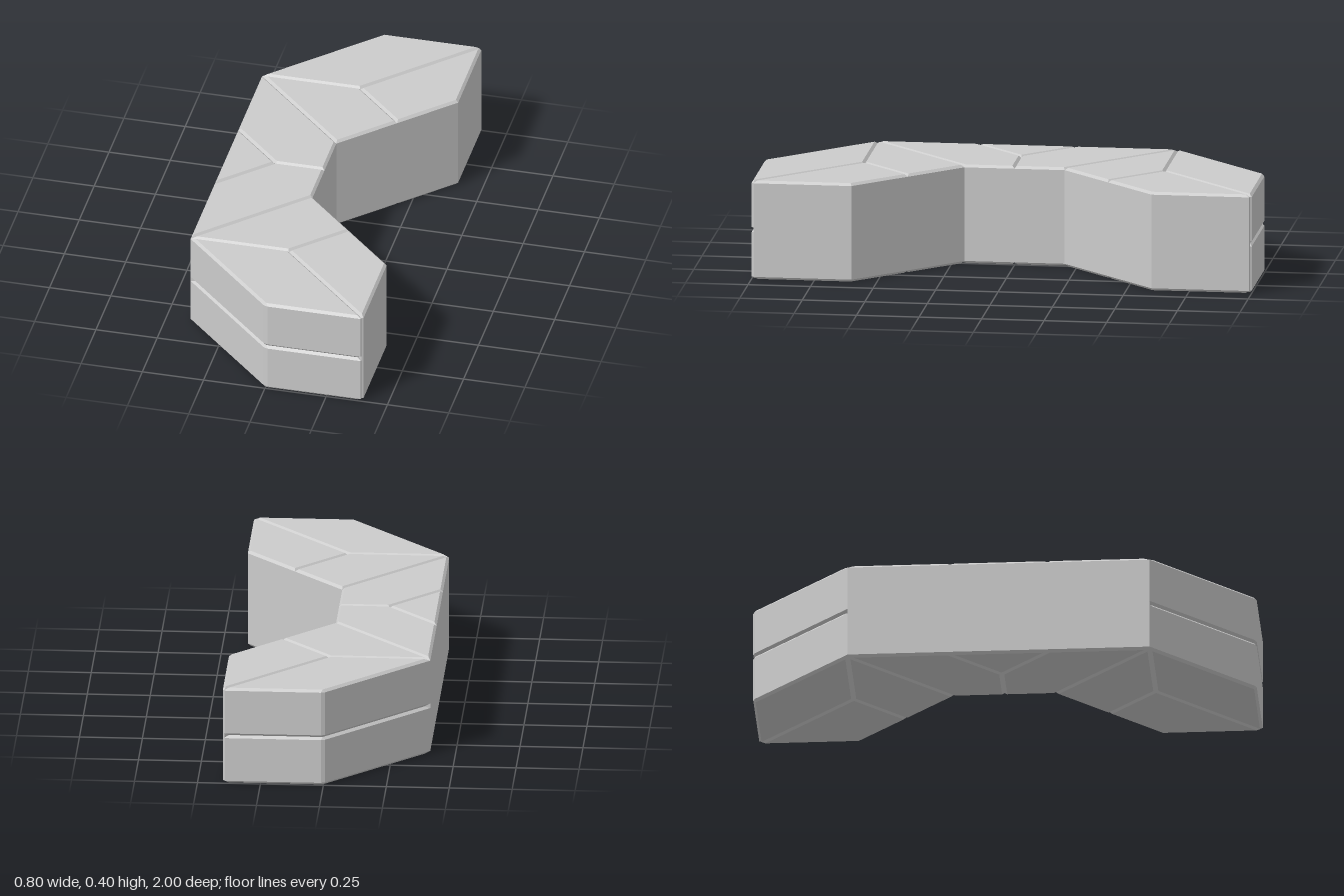
import * as THREE from 'three';
import { ConvexGeometry } from 'three/addons/geometries/ConvexGeometry.js';

const BEVEL = 0.01;
const material = new THREE.MeshStandardMaterial({ color: 0xcccccc, flatShading: true });

// Convex prism with chamfered top and bottom rims.
// outline: [x, z] corners; cuts: indices of corners whose upright edge is chamfered too.
function block(name, outline, y0, y1, side, cuts = []) {
  const points = [];
  const add = (p, y) => points.push(new THREE.Vector3(p.x, y, p.y * side));
  const corners = outline.map(([x, z]) => new THREE.Vector2(x, z));
  const n = corners.length;
  corners.forEach((corner, i) => {
    const toPrev = corners[(i + n - 1) % n].clone().sub(corner).normalize();
    const toNext = corners[(i + 1) % n].clone().sub(corner).normalize();
    const sine = Math.abs(toPrev.cross(toNext));
    const inset = corner.clone().addScaledVector(toPrev.clone().add(toNext), BEVEL / sine);
    const rim = cuts.includes(i)
      ? [toPrev, toNext].map((d) => corner.clone().addScaledVector(d, BEVEL))
      : [corner];
    add(inset, y0);
    add(inset, y1);
    for (const p of rim) {
      add(p, y0 + BEVEL);
      add(p, y1 - BEVEL);
    }
  });
  const mesh = new THREE.Mesh(new ConvexGeometry(points), material);
  mesh.name = name;
  return mesh;
}

export function createModel() {
  const model = new THREE.Group();
  model.name = 'segmentedArch';

  const endOutline = [[0, 1], [0.4, 1], [0, 0.6], [-0.4, 0.6]];
  const tipOutline = [[0.4, 1], [0.4, 0.6], [0.2, 0.4], [0, 0.6]];
  const elbowOutline = [[-0.4, 0.6], [0, 0.6], [0.2, 0.4], [0, 0.2]];
  const spineOutline = [[-0.4, 0.6], [0, 0.2], [0, 0], [-0.2, 0], [-0.4, 0.2]];

  // Two mirrored arms
  for (const side of [1, -1]) {
    const arm = new THREE.Group();
    arm.name = side > 0 ? 'frontArm' : 'backArm';
    arm.add(
      // Outer end is split into two layers
      block('lowerEndBlock', endOutline, 0, 0.2, side, [0, 1]),
      block('upperEndBlock', endOutline, 0.2, 0.4, side, [0, 1]),
      block('tipBlock', tipOutline, 0, 0.4, side, [0]),
      block('elbowBlock', elbowOutline, 0, 0.4, side),
      block('spineBlock', spineOutline, 0, 0.4, side)
    );
    model.add(arm);
  }

  // Wedge shared by both arms in the middle of the spine
  model.add(block('centreWedge', [[-0.4, -0.2], [-0.2, 0], [-0.4, 0.2]], 0, 0.4, 1));
  return model;
}
